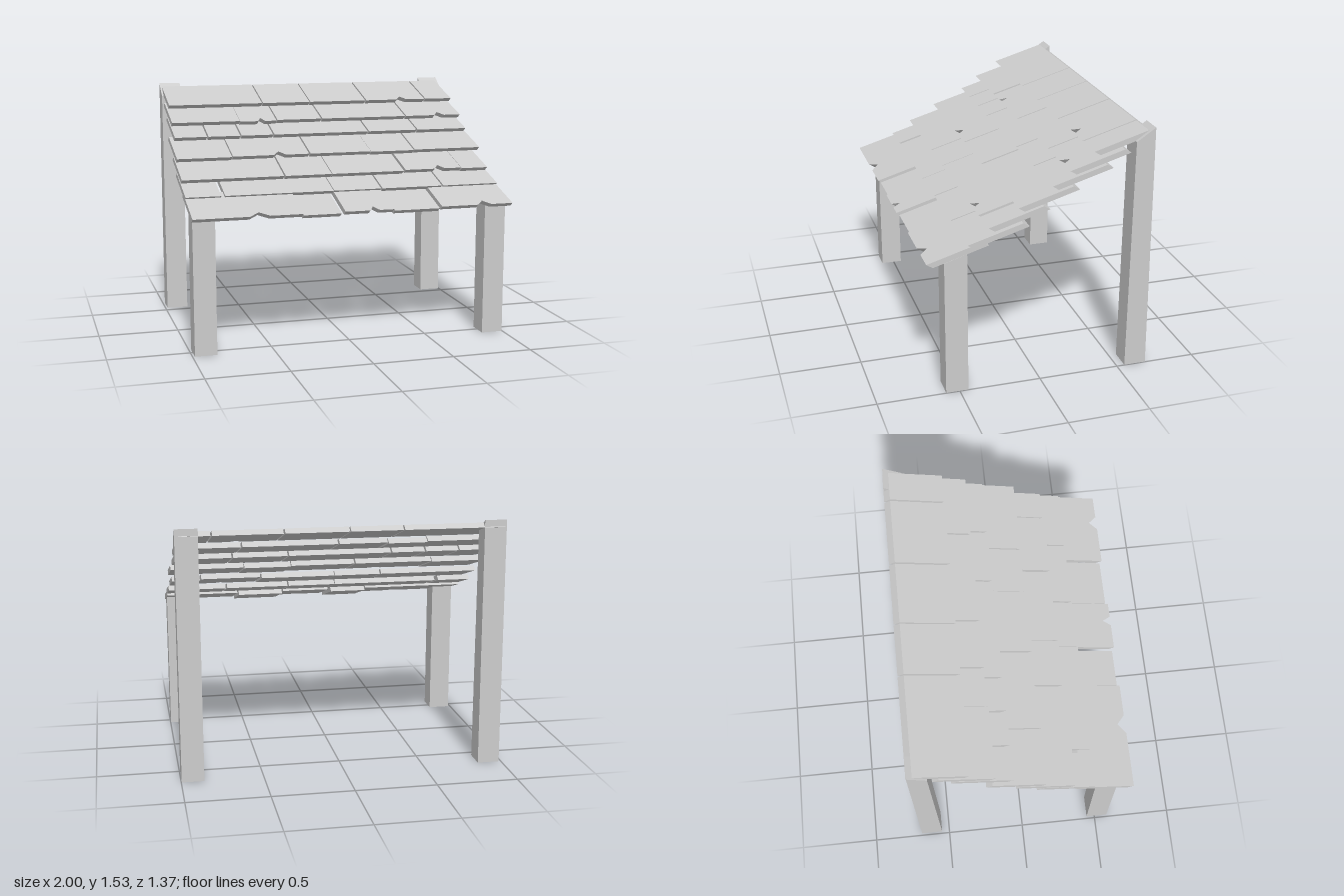
import * as THREE from 'three';

const material = new THREE.MeshStandardMaterial({ color: 0xcccccc, flatShading: true });
const SLOPE = 0.294;   // roof rise per unit of run
const RUN = 0.33;      // depth of one shingle

// Each course: front top edge (z, y), then tiles [x0, x1, drop, notchX, notchHalfWidth]
const courses = [
  { z: 0.687, y: 0.853, tiles: [[-1, -0.34, 0, -0.6, 0.06], [-0.333, -0.1, 1], [-0.08, 0.225, 0, 0.105, 0.03], [0.235, 0.525, 1], [0.535, 1, 0, 0.815, 0.045]] },
  { z: 0.445, y: 0.94, tiles: [[-1, -0.785], [-0.76, -0.085], [-0.08, 0.222], [0.232, 0.625], [0.635, 1]] },
  { z: 0.325, y: 1.03, tiles: [[-1, -0.365, 0.5], [-0.355, -0.06, 0.5], [-0.055, 0.415, 0.5], [0.425, 0.8, 0, 0.655, 0.035], [0.81, 0.985, 0.5]] },
  { z: 0.145, y: 1.132, tiles: [[-1, -0.655, 0.3], [-0.65, -0.16, 0, -0.35, 0.04], [-0.15, 0.25], [0.255, 0.545, 0.3], [0.55, 1]] },
  { z: -0.062, y: 1.235, tiles: [[-0.98, -0.775], [-0.765, -0.56], [-0.55, -0.345], [-0.335, 0.295], [0.305, 0.635], [0.645, 0.985]] },
  { z: -0.167, y: 1.317, tiles: [[-0.98, -0.54], [-0.535, -0.295, 0.4, -0.395, 0.024], [-0.29, 0.005], [0.015, 0.59], [0.6, 0.985, 0, 0.835, 0.035]] },
  { z: -0.313, y: 1.415, tiles: [[-0.975, -0.36], [-0.352, -0.035], [-0.028, 0.355], [0.365, 0.78, 0, 0.615, 0.037], [0.79, 0.975]] },
];

// One sloped shingle, sheared so its front and back edges slant
function shingle({ z, y }, [x0, x1, drop = 0, notchX, notchHalf]) {
  const shape = new THREE.Shape();
  shape.moveTo(x0, 0);
  if (notchX !== undefined) {
    shape.lineTo(notchX - notchHalf, 0);
    shape.lineTo(notchX, 0.05);
    shape.lineTo(notchX + notchHalf, 0);
  }
  shape.lineTo(x1, 0);
  shape.lineTo(x1, RUN);
  shape.lineTo(x0, RUN);
  const geometry = new THREE.ExtrudeGeometry(shape, { depth: 1, bevelEnabled: false });
  // shape x -> x, shape y -> up the slope, depth -> slanted thickness
  geometry.applyMatrix4(new THREE.Matrix4().set(
    1, 0, 0, 0,
    0, SLOPE, 0.024, y - 0.024 - 0.012 * drop,
    0, -1, 0.038, z - 0.038 - 0.015 * drop,
    0, 0, 0, 1));
  return new THREE.Mesh(geometry, material);
}

// Square post with a top cut to a slope and an optional taper in z
function post(x, zFront, zBack, topFront, topBack, taper) {
  const side = new THREE.Shape([
    new THREE.Vector2(-zFront, 0),
    new THREE.Vector2(-zBack, 0),
    new THREE.Vector2(-zBack - taper, topBack),
    new THREE.Vector2(-zFront + taper, topFront),
  ]);
  const geometry = new THREE.ExtrudeGeometry(side, { depth: 0.136, bevelEnabled: false });
  geometry.translate(0, 0, -0.068).rotateY(Math.PI / 2);
  const mesh = new THREE.Mesh(geometry, material);
  mesh.position.x = x;
  return mesh;
}

export function createModel() {
  const model = new THREE.Group();
  model.name = 'leanToShelter';

  // Overlapping shingle courses, lowest first
  const roof = new THREE.Group();
  roof.name = 'shingleRoof';
  courses.forEach((course, i) => {
    const row = new THREE.Group();
    row.name = `shingleCourse${i + 1}`;
    course.tiles.forEach((tile, j) => {
      const mesh = shingle(course, tile);
      mesh.name = `shingle${i + 1}_${j + 1}`;
      row.add(mesh);
    });
    roof.add(row);
  });
  model.add(roof);

  // Short front posts and tall back posts
  for (const [side, x] of [['Left', 0.929], ['Right', -0.918]]) {
    const front = post(x, 0.583, 0.447, 0.845, 0.886, 0);
    front.name = `front${side}Post`;
    const back = post(x, -0.55, -0.687, 1.455, 1.532, 0.011);
    back.name = `back${side}Post`;
    model.add(front, back);
  }
  return model;
}
